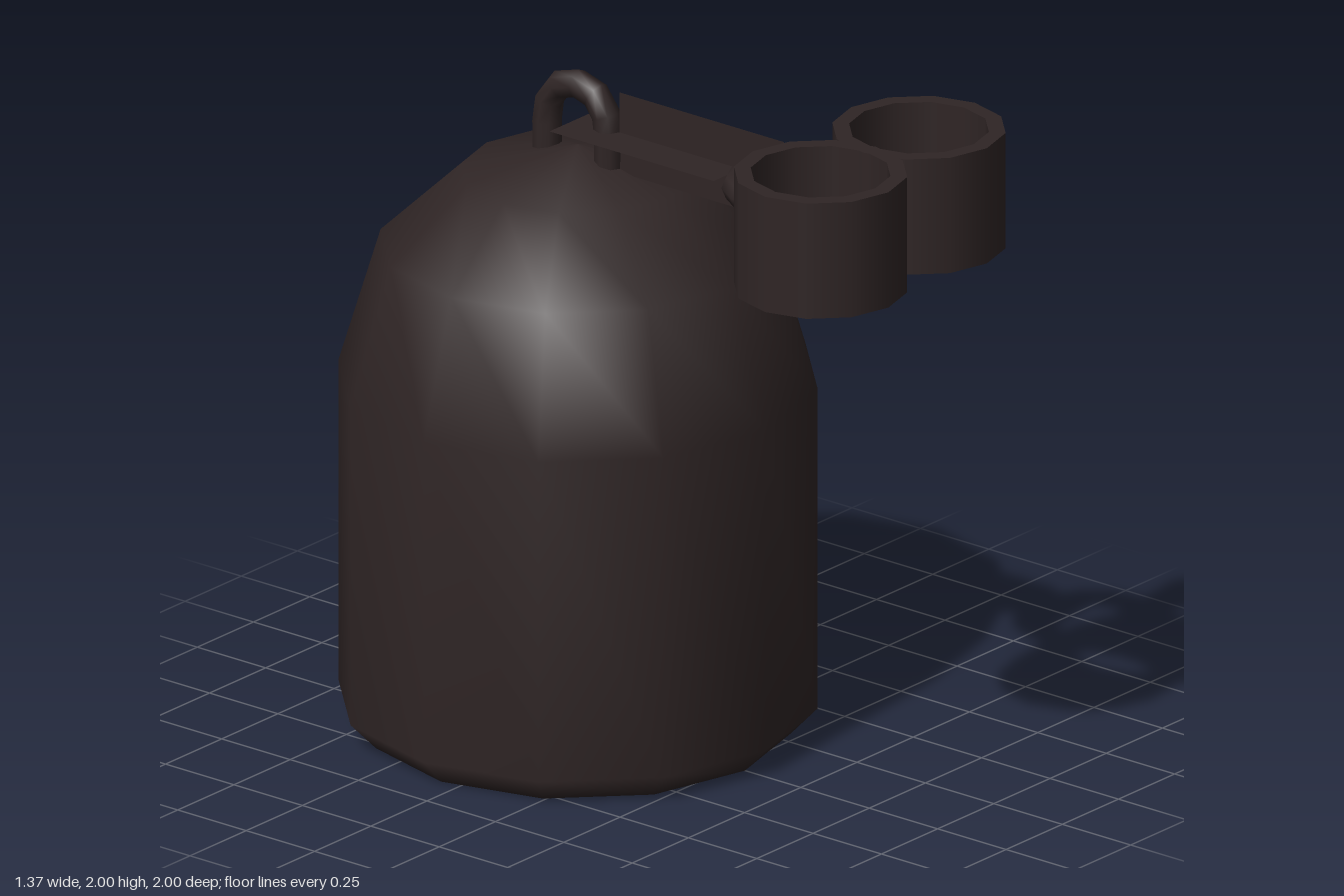
import * as THREE from 'three';

// Lathe from [radius, height] pairs; a repeated point gives a sharp edge
function lathe(points, material) {
  return new THREE.Mesh(new THREE.LatheGeometry(points.map(([r, y]) => new THREE.Vector2(r, y)), 12), material);
}

// Bent rod through straight segments of [x, y, z] points, with a rounded section
function rod(points, radius, segments, material) {
  const path = new THREE.CatmullRomCurve3(points.map((p) => new THREE.Vector3(...p)));
  return new THREE.Mesh(new THREE.TubeGeometry(path, segments, radius, 8), material);
}

export function createModel() {
  const model = new THREE.Group();
  model.name = 'weightWithShackles';
  const iron = new THREE.MeshStandardMaterial({ color: 0x2f2525, side: THREE.DoubleSide });
  iron.name = 'darkIron';

  const add = (mesh, name, x = 0, y = 0, z = 0) => {
    mesh.name = name;
    mesh.position.set(x, y, z);
    model.add(mesh);
    return mesh;
  };

  // Domed twelve-sided weight
  add(lathe([
    [0, 0], [0.61, 0], [0.686, 0.08], [0.686, 1.05],
    [0.565, 1.455], [0.335, 1.67], [0, 1.75],
  ], iron), 'weightBody', 0, 0, -0.314);

  // Upright loop on the crown
  add(rod([
    [0, 1.66, 0.112], [0, 1.75, 0.112], [0, 1.84, 0.11], [0, 1.905, 0.078],
    [0, 1.934, 0], [0, 1.905, -0.078], [0, 1.84, -0.11], [0, 1.75, -0.112], [0, 1.66, -0.112],
  ], 0.042, 10, iron), 'crownLoop', 0, 0, -0.314);

  // Chain made of two crossed thin strips
  const flat = add(new THREE.Mesh(new THREE.PlaneGeometry(0.24, 0.6), iron), 'chainFlatStrip', 0, 1.823, -0.02);
  flat.rotation.x = -Math.PI / 2;
  const upright = add(new THREE.Mesh(new THREE.PlaneGeometry(0.6, 0.243), iron), 'chainUprightStrip', 0, 1.823, 0.138);
  upright.rotation.y = Math.PI / 2;

  // Level loop joining the chain to the cuffs
  add(rod([
    [-0.175, 0, 0.54], [-0.158, 0, 0.44], [-0.128, 0, 0.375], [-0.075, 0, 0.338],
    [0, 0, 0.327], [0.075, 0, 0.338], [0.128, 0, 0.375], [0.158, 0, 0.44], [0.175, 0, 0.54],
  ], 0.045, 10, iron), 'cuffLoop', 0, 1.823, 0);

  // Pair of open cuffs
  const outer = 0.248, inner = 0.2, low = 1.65, high = 2;
  for (const side of [-1, 1]) {
    add(lathe([
      [outer, low], [outer, high], [outer, high], [inner, high], [inner, high],
      [inner, low], [inner, low], [outer, low],
    ], iron), side > 0 ? 'leftCuff' : 'rightCuff', side * 0.219, 0, 0.752);
  }

  return model;
}
